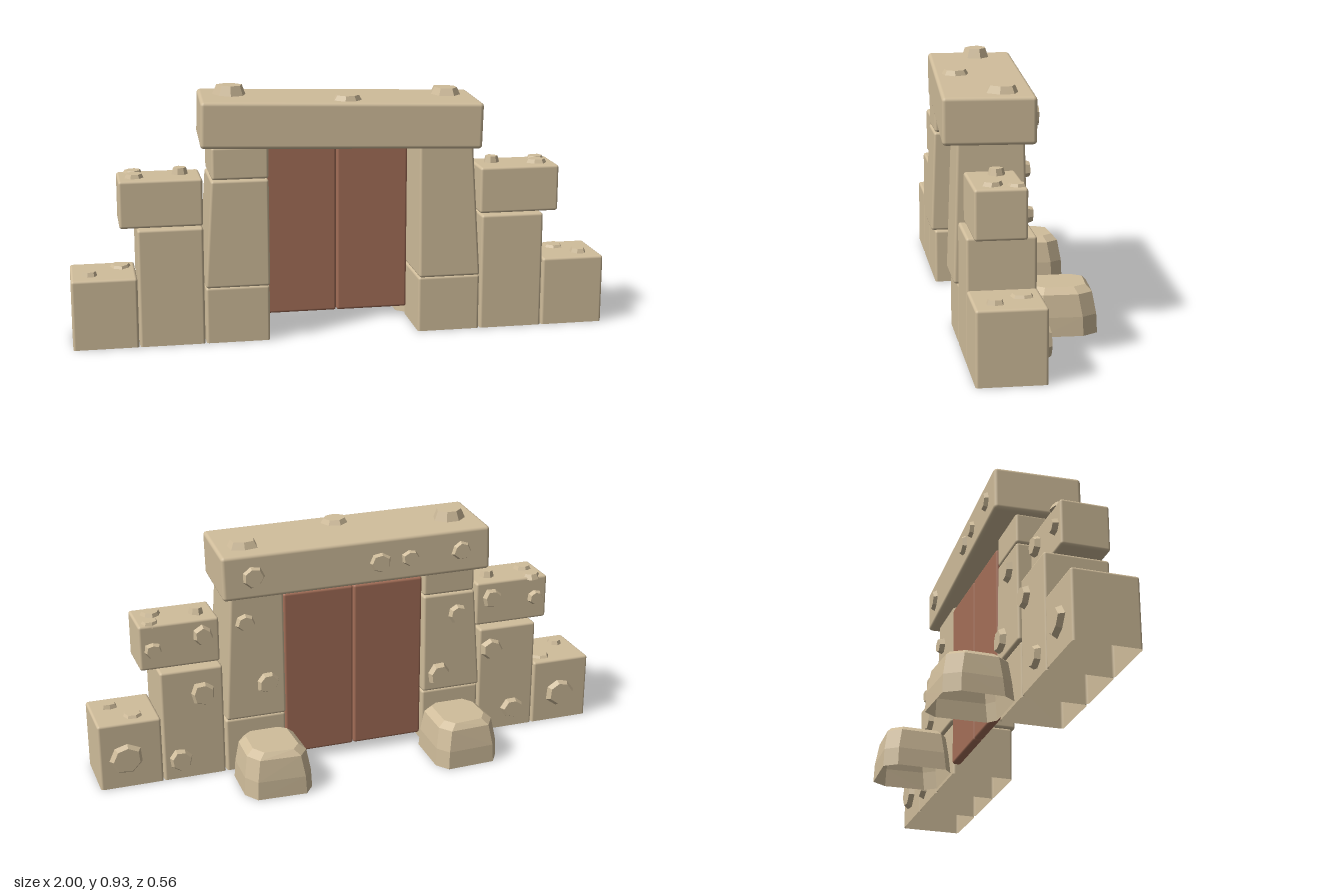
import * as THREE from 'three';
import { RoundedBoxGeometry } from 'three/addons/geometries/RoundedBoxGeometry.js';
import { ConvexGeometry } from 'three/addons/geometries/ConvexGeometry.js';

// Keep only the triangles accepted by the test on their three heights
function filterTriangles(geo, keep) {
  const p = geo.attributes.position, n = geo.attributes.normal, pos = [], nor = [];
  for (let i = 0; i < p.count; i += 3) {
    if (!keep(p.getY(i), p.getY(i + 1), p.getY(i + 2))) continue;
    for (let k = i; k < i + 3; k++) {
      pos.push(p.getX(k), p.getY(k), p.getZ(k));
      nor.push(n.getX(k), n.getY(k), n.getZ(k));
    }
  }
  const out = new THREE.BufferGeometry();
  out.setAttribute('position', new THREE.Float32BufferAttribute(pos, 3));
  out.setAttribute('normal', new THREE.Float32BufferAttribute(nor, 3));
  return out;
}
const aboveGround = (a, b, c) => Math.max(a, b, c) > 1e-5;

export function createModel() {
  const model = new THREE.Group();
  model.name = 'stoneGateway';
  const stone = new THREE.MeshStandardMaterial({ color: 0xd0bd9b, side: THREE.DoubleSide });
  stone.name = 'sandstone';
  const wood = new THREE.MeshStandardMaterial({ color: 0xa56f58 });
  wood.name = 'redWood';

  let seed = 7;
  const rand = () => (seed = (seed * 16807) % 2147483647) / 2147483647;

  function add(parent, name, geo, mat = stone) {
    const mesh = new THREE.Mesh(geo, mat);
    mesh.name = name;
    parent.add(mesh);
    return mesh;
  }

  // Soft-edged block between two corners; blocks on the ground have no underside.
  // taper(point, t) shifts points by their height fraction t.
  function block(name, [x0, x1], [y0, y1], [z0, z1], taper, mat = stone) {
    const grounded = y0 === 0, low = grounded ? -0.04 : y0;
    let geo = new RoundedBoxGeometry(x1 - x0, y1 - low, z1 - z0, 2, 0.01);
    geo.translate((x0 + x1) / 2, (y1 + low) / 2, (z0 + z1) / 2);
    const p = geo.attributes.position, v = new THREE.Vector3();
    for (let i = 0; i < p.count; i++) {
      v.fromBufferAttribute(p, i);
      if (grounded) v.y = Math.max(0, v.y);
      if (taper) taper(v, (v.y - y0) / (y1 - y0));
      p.setXYZ(i, v.x, v.y, v.z);
    }
    geo.clearGroups();
    if (grounded) geo = filterTriangles(geo, aboveGround);
    return add(model, name, geo, mat);
  }

  // Chipped stone bump, lying on a top face or on a back face
  function pebble(parent, x, y, z, r, h, onBack) {
    const sides = 7, geo = new THREE.CylinderGeometry(r * 0.72, r, h + 0.01, sides, 1);
    const stretch = Array.from({ length: sides }, () => 0.88 + rand() * 0.24);
    const p = geo.attributes.position;
    for (let i = 0; i < p.count; i++) {
      const a = Math.atan2(p.getZ(i), p.getX(i));
      const s = stretch[((Math.round(a / (2 * Math.PI) * sides * 4) + 28) >> 2) % sides];
      if (Math.hypot(p.getX(i), p.getZ(i)) > 1e-4) p.setXYZ(i, p.getX(i) * s, p.getY(i), p.getZ(i) * s);
    }
    const flat = geo.toNonIndexed();
    flat.computeVertexNormals();
    flat.rotateY(rand() * 6);
    flat.translate(0, h / 2 - 0.005, 0);
    if (onBack) flat.rotateX(-Math.PI / 2);
    add(parent, onBack ? 'backPebble' : 'topPebble', flat).position.set(x, y, z);
  }

  // Stepped side walls
  for (const s of [-1, 1]) {
    const side = s > 0 ? 'left' : 'right';
    const span = (a, b) => (s > 0 ? [a, b] : [-b, -a]);
    block(side + 'OuterBlock', span(0.762, 1), [0, 0.26], [-0.01, 0.23]);
    block(side + 'MiddleBlock', span(0.52, 0.758), [0, 0.438], [-0.01, 0.23]);
    block(side + 'CapBlock', span(0.518, 0.82), [0.44, 0.615], [0.03, 0.21]);
    block(side + 'PillarBase', span(0.28, 0.515), [0, 0.21], [-0.01, 0.23]);
  }

  // Leaning upper pillars: full height on the left, two stones on the right
  block('leftPillar', [0.28, 0.512], [0.212, 0.715], [-0.02, 0.245], (v, t) => {
    if (v.x > 0.4) v.x -= 0.03 * t;
    v.z -= (v.z > 0.1 ? 0.018 : -0.008) * t;
  });
  block('rightPillar', [-0.517, -0.28], [0.212, 0.608], [-0.02, 0.245], (v, t) => {
    if (v.x < -0.4) v.x += 0.027 * t;
    v.z -= (v.z > 0.1 ? 0.015 : -0.007) * t;
  });
  block('rightPillarTop', [-0.487, -0.28], [0.61, 0.73], [-0.012, 0.228]);

  // Double door
  block('rightDoor', [-0.27, 0.006], [0.035, 0.692], [-0.015, 0.02], null, wood);
  block('leftDoor', [0.008, 0.282], [0.035, 0.692], [-0.015, 0.02], null, wood);

  // Crooked lintel with its bumps
  const lintel = new THREE.Group();
  lintel.name = 'lintel';
  lintel.position.set(-0.002, 0.798, 0.09);
  lintel.rotation.set(0, -0.05, -0.024);
  model.add(lintel);
  add(lintel, 'lintelStone', new RoundedBoxGeometry(1.03, 0.17, 0.33, 2, 0.014));
  for (const [x, z, r, h] of [[-0.4, -0.02, 0.062, 0.036], [0.02, 0.09, 0.056, 0.018], [0.41, -0.055, 0.064, 0.026]])
    pebble(lintel, x, 0.085, z, r, h, false);
  for (const [x, y, r] of [[0.4, 0, 0.045], [-0.08, -0.005, 0.046], [-0.2, 0, 0.038], [-0.4, 0.005, 0.042]])
    pebble(lintel, x, y, -0.165, r, 0.015, true);

  // Bumps on the wall tops: x, y, z, radius, height
  for (const [x, y, z, r, h] of [
    [-0.76, 0.615, 0.14, 0.042, 0.014], [-0.592, 0.615, 0.105, 0.032, 0.024],
    [0.585, 0.615, 0.105, 0.032, 0.024], [0.75, 0.615, 0.14, 0.042, 0.014],
    [-0.76, 0.615, 0.055, 0.04, 0.01], [0.77, 0.615, 0.06, 0.035, 0.01],
    [-0.93, 0.26, 0.155, 0.034, 0.016], [-0.815, 0.26, 0.055, 0.046, 0.01],
    [0.925, 0.26, 0.155, 0.034, 0.016], [0.855, 0.26, 0.055, 0.046, 0.01],
  ]) pebble(model, x, y, z, r, h, false);

  // Bumps on the back of the walls: x, y, z, radius
  for (const [x, y, z, r] of [
    [-0.88, 0.12, -0.01, 0.064], [0.9, 0.12, -0.01, 0.066],
    [-0.57, 0.35, -0.01, 0.05], [-0.67, 0.08, -0.01, 0.05],
    [0.6, 0.34, -0.01, 0.052], [0.695, 0.08, -0.01, 0.05],
    [-0.585, 0.55, 0.03, 0.045], [-0.77, 0.53, 0.03, 0.036],
    [0.77, 0.52, 0.03, 0.034], [0.58, 0.55, 0.03, 0.046],
    [-0.416, 0.525, -0.015, 0.042], [-0.345, 0.28, -0.02, 0.05],
    [0.43, 0.6, -0.014, 0.04], [0.35, 0.35, -0.018, 0.048],
  ]) pebble(model, x, y, z, r, 0.02, true);

  // Boulders behind the pillars: stacked chamfered outlines, open underneath
  for (const s of [-1, 1]) {
    const points = [];
    for (const [y, w, back, front, cut] of [
      [0, 0.128, -0.285, -0.02, 0.035], [0.07, 0.125, -0.282, -0.027, 0.035],
      [0.15, 0.112, -0.268, -0.036, 0.035], [0.172, 0.085, -0.248, -0.05, 0.03],
    ]) for (const e of [-1, 1]) {
      const skew = e * s * 0.008;
      points.push(
        new THREE.Vector3(e * w, y, back + cut * 1.6 + skew), new THREE.Vector3(e * (w - cut), y, back + 0.004 + skew / 2),
        new THREE.Vector3(e * w * 0.97, y, front - cut - skew), new THREE.Vector3(e * (w - cut), y, front));
    }
    const geo = filterTriangles(new ConvexGeometry(points), aboveGround);
    add(model, s > 0 ? 'leftBoulder' : 'rightBoulder', geo).position.x = s * 0.378;
  }
  return model;
}
